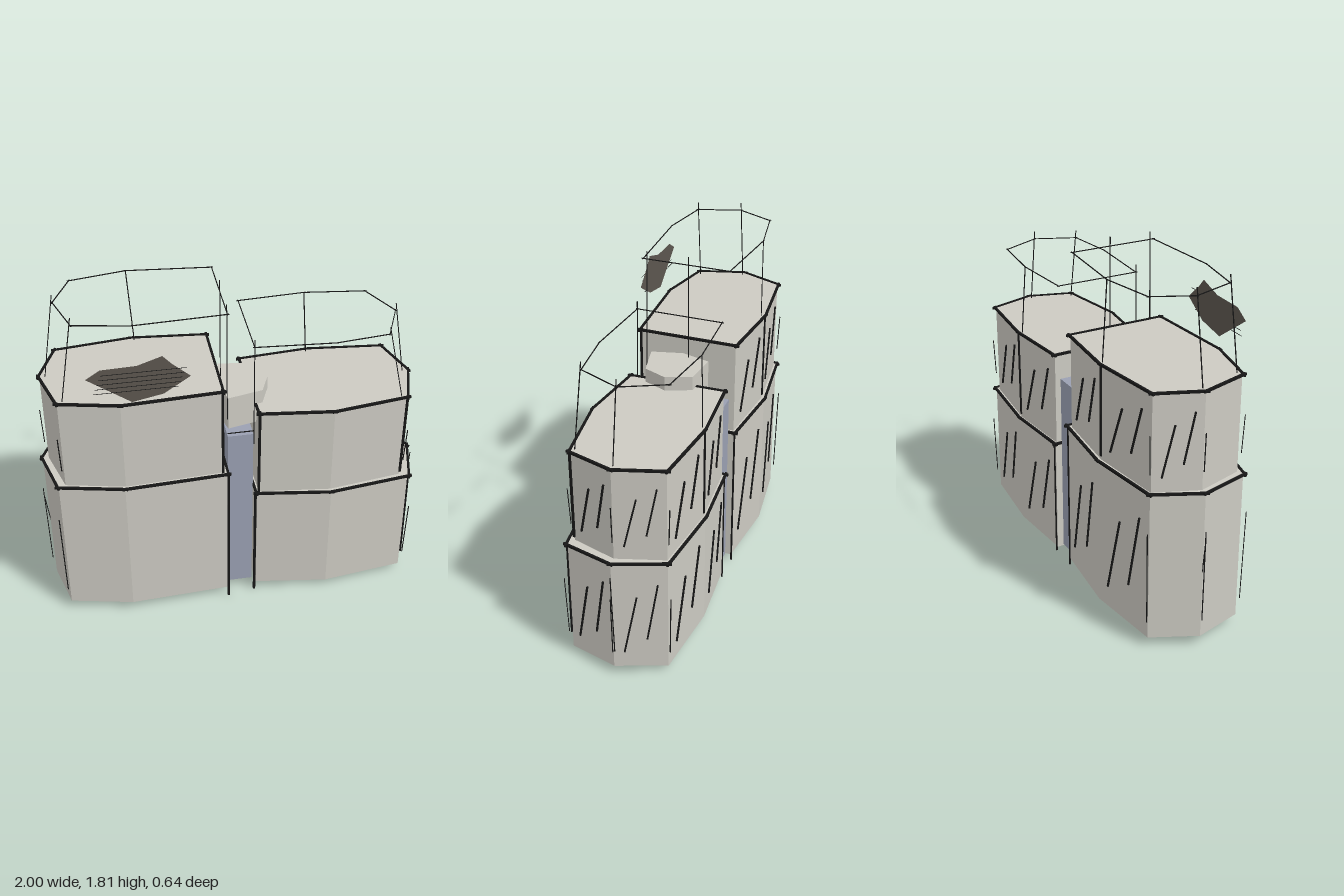
import * as THREE from 'three';

const grey = new THREE.MeshStandardMaterial({ color: 0xcccac2, flatShading: true });
const blue = new THREE.MeshStandardMaterial({ color: 0x9aa0b2, flatShading: true });
const ink = new THREE.MeshStandardMaterial({ color: 0x161616 });
const dark = new THREE.MeshStandardMaterial({ color: 0x5c564f, side: THREE.DoubleSide });
const THICK = 0.012, MID = 0.008, THIN = 0.004;

// Footprints as [x, z], from the inner back corner round the outer end to the inner front corner
const towers = [
  {
    name: 'tallTower', inner: -0.065, ghostY: 1.76, loose: 1.8,
    tiers: [
      { y0: 0.055, y1: 0.85, hatch: [0, 1],
        pts: [[-0.07, -0.26], [-0.47, -0.3], [-0.87, -0.25], [-0.98, -0.02], [-0.915, 0.23], [-0.59, 0.3], [-0.07, 0.275]] },
      { y0: 0.85, y1: 1.35, hatch: [0, 1, 2],
        pts: [[-0.09, -0.25], [-0.47, -0.285], [-0.86, -0.24], [-0.95, -0.02], [-0.88, 0.22], [-0.585, 0.285], [-0.09, 0.26]] },
    ],
    ghost: [[-0.06, -0.22], [-0.48, -0.26], [-0.76, -0.21], [-0.85, -0.02], [-0.78, 0.2], [-0.51, 0.25], [-0.06, 0.23]],
  },
  {
    name: 'lowTower', inner: 0.08, ghostY: 1.55, loose: 1.59,
    tiers: [
      { y0: 0.045, y1: 0.68, hatch: [0, 1, 2, 3],
        pts: [[0.08, -0.26], [0.46, -0.29], [0.87, -0.25], [0.965, 0], [0.9, 0.25], [0.47, 0.305], [0.09, 0.25]] },
      { y0: 0.68, y1: 1.18, hatch: [0, 1, 2, 3],
        pts: [[0.09, -0.25], [0.46, -0.28], [0.85, -0.24], [0.925, 0], [0.855, 0.23], [0.47, 0.285], [0.1, 0.24]] },
    ],
    ghost: [[0.075, -0.23], [0.42, -0.25], [0.73, -0.21], [0.83, 0], [0.74, 0.21], [0.47, 0.24], [0.075, 0.21]],
  },
];

function add(parent, name, geometry, material) {
  const mesh = new THREE.Mesh(geometry, material);
  mesh.name = name;
  parent.add(mesh);
  return mesh;
}

// Upright prism over a footprint
function prism(pts, y0, y1) {
  const shape = new THREE.Shape(pts.map(([x, z]) => new THREE.Vector2(x, -z)));
  return new THREE.ExtrudeGeometry(shape, { depth: y1 - y0, bevelEnabled: false })
    .rotateX(-Math.PI / 2).translate(0, y0, 0);
}

// Straight pen stroke between two points, running past both ends by `over`
function stroke(parent, name, a, b, width, over = 0) {
  const p = new THREE.Vector3(...a), q = new THREE.Vector3(...b);
  const mesh = add(parent, name, new THREE.BoxGeometry(width, width, p.distanceTo(q) + 2 * over), ink);
  mesh.position.copy(p).add(q).multiplyScalar(0.5);
  mesh.lookAt(q);
}

function outline(parent, name, pts, y, width, over) {
  pts.forEach(([x, z], i) => {
    const [x2, z2] = pts[(i + 1) % pts.length];
    stroke(parent, name, [x, y, z], [x2, y, z2], width, over);
  });
}

// Two slanted strokes on the wall from a to b, rising to the viewer's right
function hatchWall(parent, a, b, centre, y0, y1) {
  const mid = new THREE.Vector3((a[0] + b[0]) / 2, 0, (a[1] + b[1]) / 2);
  const len = Math.hypot(b[0] - a[0], b[1] - a[1]);
  const n = new THREE.Vector3(b[1] - a[1], 0, a[0] - b[0]).normalize();
  if (n.dot(mid.clone().sub(centre)) < 0) n.negate();
  const right = new THREE.Vector3(n.z, 0, -n.x), h = y1 - y0;
  const at = (t, v) => {
    const p = mid.clone().addScaledVector(right, t * len).addScaledVector(n, 0.004);
    return [p.x, y0 + v * h, p.z];
  };
  stroke(parent, 'hatch', at(-0.3, 0.15), at(-0.06, 0.68), MID);
  stroke(parent, 'hatch', at(0.12, 0.28), at(0.32, 0.8), MID);
}

function buildTower(t) {
  const g = new THREE.Group();
  g.name = t.name;
  const centre = new THREE.Vector3(t.inner + Math.sign(t.inner) * 0.43, 0, 0);

  t.tiers.forEach(({ y0, y1, pts, hatch }, k) => {
    add(g, k ? 'upperTier' : 'lowerTier', prism(pts, y0, y1), grey);
    // Heavy rim, drawn just outside the walls
    const rim = pts.map(([x, z]) => [centre.x + (x - centre.x) * 1.01, z * 1.02]);
    outline(g, 'rimLine', rim, y1, THICK, 0.015);
    hatch.forEach(i => hatchWall(g, pts[i], pts[i + 1], centre, y0, y1));
    // Loose thin strokes beside the outer corners
    [2, 3, 4].forEach(i => {
      const [x, z] = pts[i];
      stroke(g, 'looseLine', [x * 1.012, y0 + 0.1, z * 1.05], [x * 1.018, y1 - 0.2, z * 1.08], THIN);
    });
  });

  const [low, up] = t.tiers, top = up.y1;
  // Heavy inner corners and mid-back edges
  const [ix, iz] = low.pts[6];
  stroke(g, 'cornerLine', [t.inner, 0, iz + 0.005], [t.inner, low.y1, iz + 0.005], THICK);
  stroke(g, 'cornerLine', [up.pts[6][0], low.y1, up.pts[6][1]], [up.pts[6][0], top + 0.01, up.pts[6][1]], THICK);
  stroke(g, 'cornerLine', [ix, 0.02, -0.262], [ix, low.y1, -0.262], MID);
  const [mx, mz] = up.pts[1];
  stroke(g, 'backEdgeLine', [mx, low.y1 + 0.02, mz], [mx, top, mz], THICK);
  if (t.inner > 0) {
    stroke(g, 'frontEdgeLine', [0.9, low.y1, 0.252], [0.905, 0.14, 0.252], MID);
    stroke(g, 'frontEdgeLine', [0.857, top, 0.232], [0.857, 0.7, 0.232], THICK);
    stroke(g, 'looseLine', [0.997, 0.62, -0.01], [0.975, 0.15, -0.01], THIN);
  } else {
    stroke(g, 'looseLine', [-0.998, 0.61, -0.02], [-0.975, 0.4, -0.02], THIN);
  }

  // Ghost storey: thin outline and leaning uprights
  outline(g, 'ghostOutline', t.ghost, t.ghostY, THIN, 0.008);
  [1, 3, 4].forEach(i => {
    const [x, z] = up.pts[i], [gx, gz] = t.ghost[i];
    stroke(g, 'ghostUpright', [x * 0.97, top, z * 0.95], [gx, i === 1 ? t.ghostY : t.loose, gz], THIN);
  });
  stroke(g, 'ghostUpright', [t.ghost[6][0], top - 0.2, 0.22], [t.ghost[6][0], t.loose, 0.21], THIN);
  return g;
}

export function createModel() {
  const model = new THREE.Group();
  model.name = 'twinTowerSketch';
  towers.forEach(t => model.add(buildTower(t)));

  // Slab joining the towers
  add(model, 'core', new THREE.BoxGeometry(0.13, 0.99, 0.46).translate(0.005, 0.555, 0), blue);
  stroke(model, 'coreTopLine', [-0.06, 1.07, 0.23], [0.07, 1.07, 0.23], THIN);

  // Small lantern over the slab, with its mast line
  add(model, 'lantern', prism([[-0.05, -0.12], [0.13, -0.1], [0.18, 0.03], [0.13, 0.15], [-0.05, 0.19], [-0.09, 0.03]], 1.07, 1.255), grey);
  stroke(model, 'mastLine', [-0.055, 1.2, -0.01], [-0.055, 1.805, -0.01], THIN);

  // Flat dark shard floating before the tall tower
  const shard = new THREE.Shape([[-0.74, 1.54], [-0.67, 1.585], [-0.5, 1.59], [-0.38, 1.63], [-0.34, 1.585],
    [-0.25, 1.505], [-0.38, 1.42], [-0.53, 1.39]].map(p => new THREE.Vector2(...p)));
  add(model, 'shard', new THREE.ShapeGeometry(shard).translate(0, 0, 0.325), dark);
  for (let i = 0; i < 5; i++) {
    stroke(model, 'shardLine', [-0.71 + i * 0.01, 1.455 + i * 0.025, 0.327], [-0.31 + i * 0.01, 1.455 + i * 0.025, 0.327], 0.002);
  }
  return model;
}
